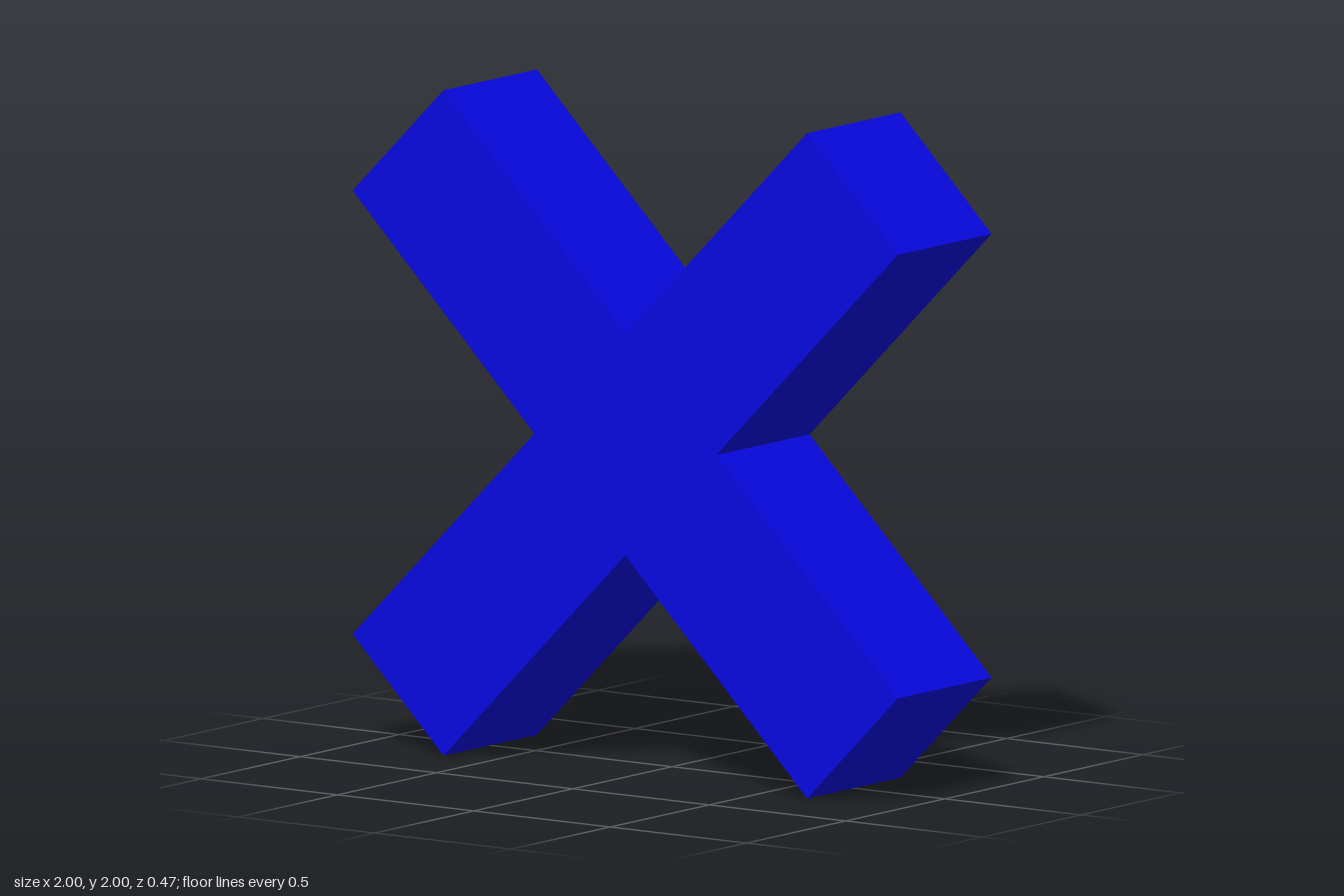
import * as THREE from 'three';

const T = 1 / 3;                  // half diagonal of the square bar section
const DEPTH = T * Math.SQRT2;     // bar thickness equals bar width

export function createModel() {
  const group = new THREE.Group();
  group.name = 'diagonalCross';

  // Outline: per arm, two tip corners and the inner notch, turned by quarter turns
  const points = [];
  for (let i = 0; i < 4; i++) {
    for (const [x, y] of [[1, 1 - T], [1 - T, 1], [0, T]]) {
      const p = new THREE.Vector2(x, y);
      points.push(p.rotateAround(new THREE.Vector2(), i * Math.PI / 2));
    }
  }

  // Solid cross of two merged square bars
  const geometry = new THREE.ExtrudeGeometry(new THREE.Shape(points), {
    depth: DEPTH,
    bevelEnabled: false,
  });
  geometry.translate(0, 1, -DEPTH / 2);

  const cross = new THREE.Mesh(
    geometry,
    new THREE.MeshStandardMaterial({ color: 0x0808e0 }),
  );
  cross.name = 'crossedBars';
  group.add(cross);
  return group;
}
